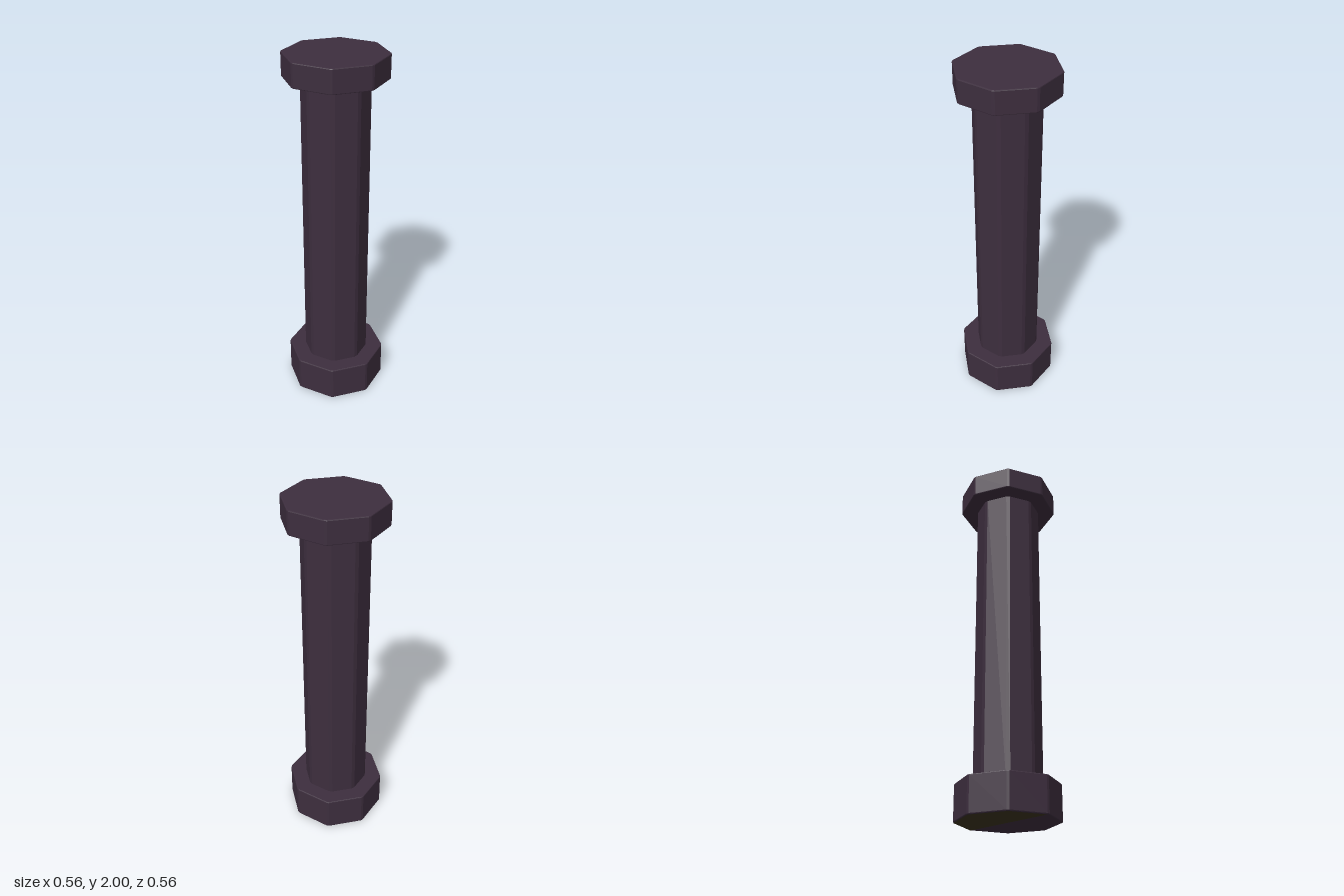
import * as THREE from 'three';

const plum = new THREE.MeshStandardMaterial({ color: 0x3d2e3e });
plum.name = 'dark plum';
const olive = new THREE.MeshStandardMaterial({ color: 0x3b341f });
olive.name = 'dark olive';

// Octagon with a corner on each axis, every corner cut by a small chamfer.
// Covers the given number of corner-to-corner sides, starting at +x.
function octagon(radius, chamfer, sides = 8) {
  const corner = (i) => new THREE.Vector2(
    radius * Math.cos(i * Math.PI / 4), radius * Math.sin(i * Math.PI / 4));
  const t = chamfer / (2 * radius * Math.sin(Math.PI / 8));
  const points = [];
  for (let i = 0; i < sides; i++) {
    points.push(corner(i).lerp(corner(i + 1), t), corner(i).lerp(corner(i + 1), 1 - t));
  }
  return new THREE.Shape(points);
}

// Upright octagonal prism with softened rims
function prism(name, radius, chamfer, bottom, top, bevel) {
  const geometry = new THREE.ExtrudeGeometry(octagon(radius, chamfer), {
    depth: top - bottom - 2 * bevel,
    bevelEnabled: bevel > 0,
    bevelThickness: bevel,
    bevelSize: bevel,
    bevelOffset: -bevel,
    bevelSegments: 2,
  });
  geometry.translate(0, 0, bottom + bevel);
  geometry.rotateX(-Math.PI / 2);
  const mesh = new THREE.Mesh(geometry, plum);
  mesh.name = name;
  return mesh;
}

export function createModel() {
  const group = new THREE.Group();
  group.name = 'column';

  group.add(
    prism('base', 0.281, 0.008, 0.002, 0.2, 0.005),
    prism('shaft', 0.187, 0.012, 0.19, 1.88, 0),
    prism('capital', 0.281, 0.008, 1.87, 2, 0.005),
  );

  // Differently coloured back half of the underside, facing down
  const underside = new THREE.Mesh(
    new THREE.ShapeGeometry(octagon(0.277, 0.006, 4)).rotateX(Math.PI / 2).rotateY(Math.PI), olive);
  underside.name = 'undersideBackHalf';
  group.add(underside);

  return group;
}
